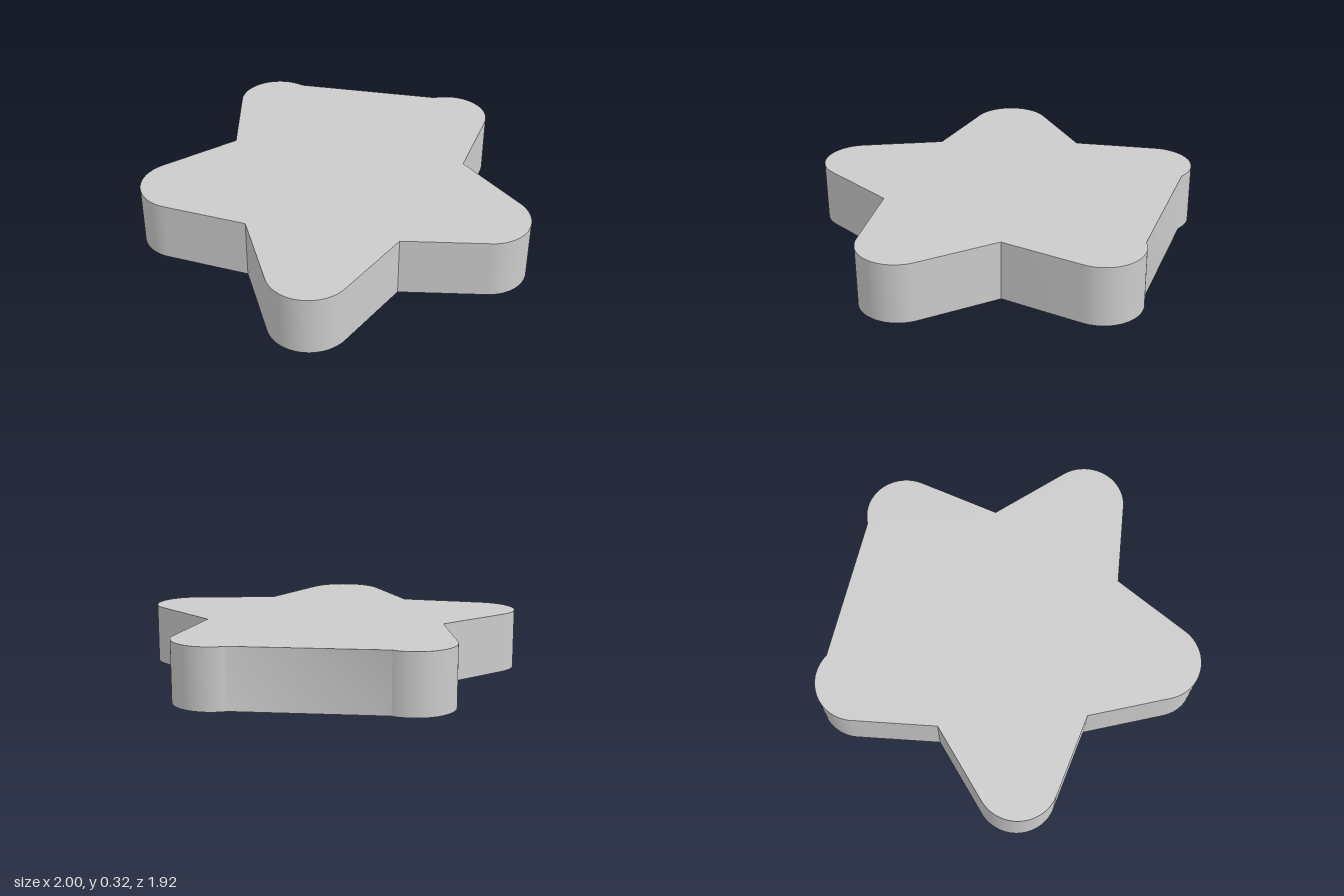
import * as THREE from 'three';
import { toCreasedNormals } from 'three/addons/utils/BufferGeometryUtils.js';

const HEIGHT = 0.317;
const CENTRE_Z = 0.08;      // star centre, offset so the bounds are centred
const NOTCH_RADIUS = 0.65;  // inner corners
const TIP_DISTANCE = 0.83;  // centre of each tip's rounding
const TIP_RADIUS = 0.21;

// Five rounded tips joined by straight edges meeting in sharp notches
function starShape() {
  const step = Math.PI / 5;
  const across = NOTCH_RADIUS * Math.sin(step);
  const back = TIP_DISTANCE - NOTCH_RADIUS * Math.cos(step);
  // Half sweep of the tip arc, so that the edges run off it tangentially
  const half = Math.PI - Math.atan2(across, back)
    - Math.acos(TIP_RADIUS / Math.hypot(across, back));

  const shape = new THREE.Shape();
  for (let i = 0; i < 5; i++) {
    const tip = Math.PI / 2 + i * 2 * step;
    const notchX = NOTCH_RADIUS * Math.cos(tip - step);
    const notchY = NOTCH_RADIUS * Math.sin(tip - step);
    if (i === 0) shape.moveTo(notchX, notchY);
    else shape.lineTo(notchX, notchY);
    shape.absarc(TIP_DISTANCE * Math.cos(tip), TIP_DISTANCE * Math.sin(tip),
      TIP_RADIUS, tip - half, tip + half, false);
  }
  shape.closePath();
  return shape;
}

export function createModel() {
  const group = new THREE.Group();
  group.name = 'roundedStar';

  // Flat slab lying on the ground, one tip pointing to the back
  const slab = new THREE.ExtrudeGeometry(starShape(), {
    depth: HEIGHT, bevelEnabled: false, curveSegments: 24,
  });
  slab.rotateX(-Math.PI / 2);
  slab.translate(0, 0, CENTRE_Z);

  const star = new THREE.Mesh(
    toCreasedNormals(slab, Math.PI / 6),
    new THREE.MeshStandardMaterial({ color: 0xcccccc }),
  );
  star.name = 'starSlab';
  group.add(star);
  return group;
}
